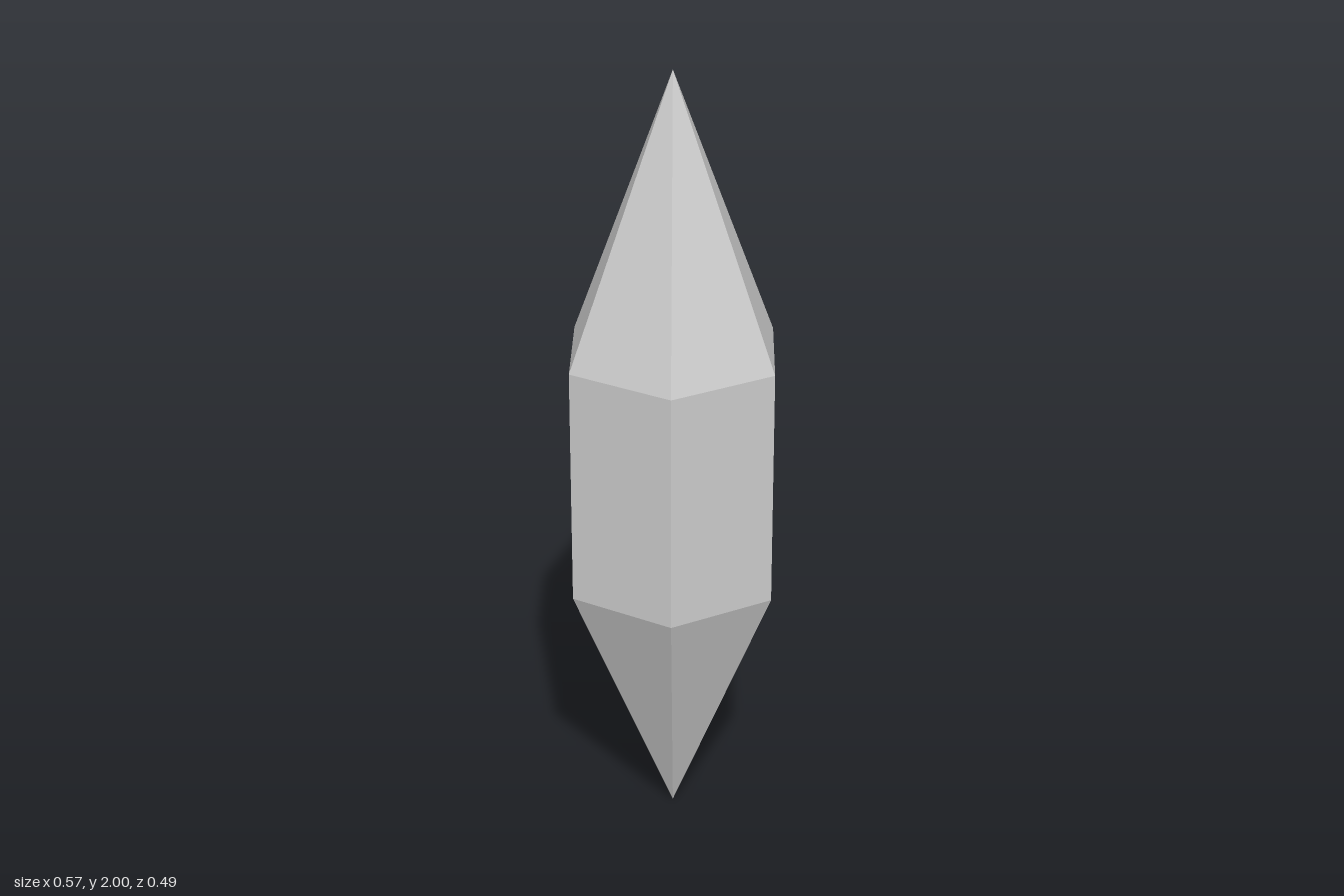
import * as THREE from 'three';

const RADIUS = 0.283;
const SIDES = 6;

export function createModel() {
  const crystal = new THREE.Group();
  crystal.name = 'crystal';
  const material = new THREE.MeshStandardMaterial({ color: 0xcccccc, flatShading: true });

  // One open six-sided section, with corners on the x axis
  function addSection(name, bottomRadius, topRadius, bottom, top) {
    const geometry = new THREE.CylinderGeometry(
      topRadius, bottomRadius, top - bottom, SIDES, 1, true, Math.PI / 2
    ).toNonIndexed();
    geometry.computeVertexNormals();
    const mesh = new THREE.Mesh(geometry, material);
    mesh.name = name;
    mesh.position.y = (bottom + top) / 2;
    crystal.add(mesh);
  }

  // Pointed ends joined by a straight hexagonal prism
  addSection('lowerPoint', 0, RADIUS, 0, 0.68);
  addSection('prismBody', RADIUS, RADIUS, 0.68, 1.29);
  addSection('upperPoint', RADIUS, 0, 1.29, 2);

  return crystal;
}
